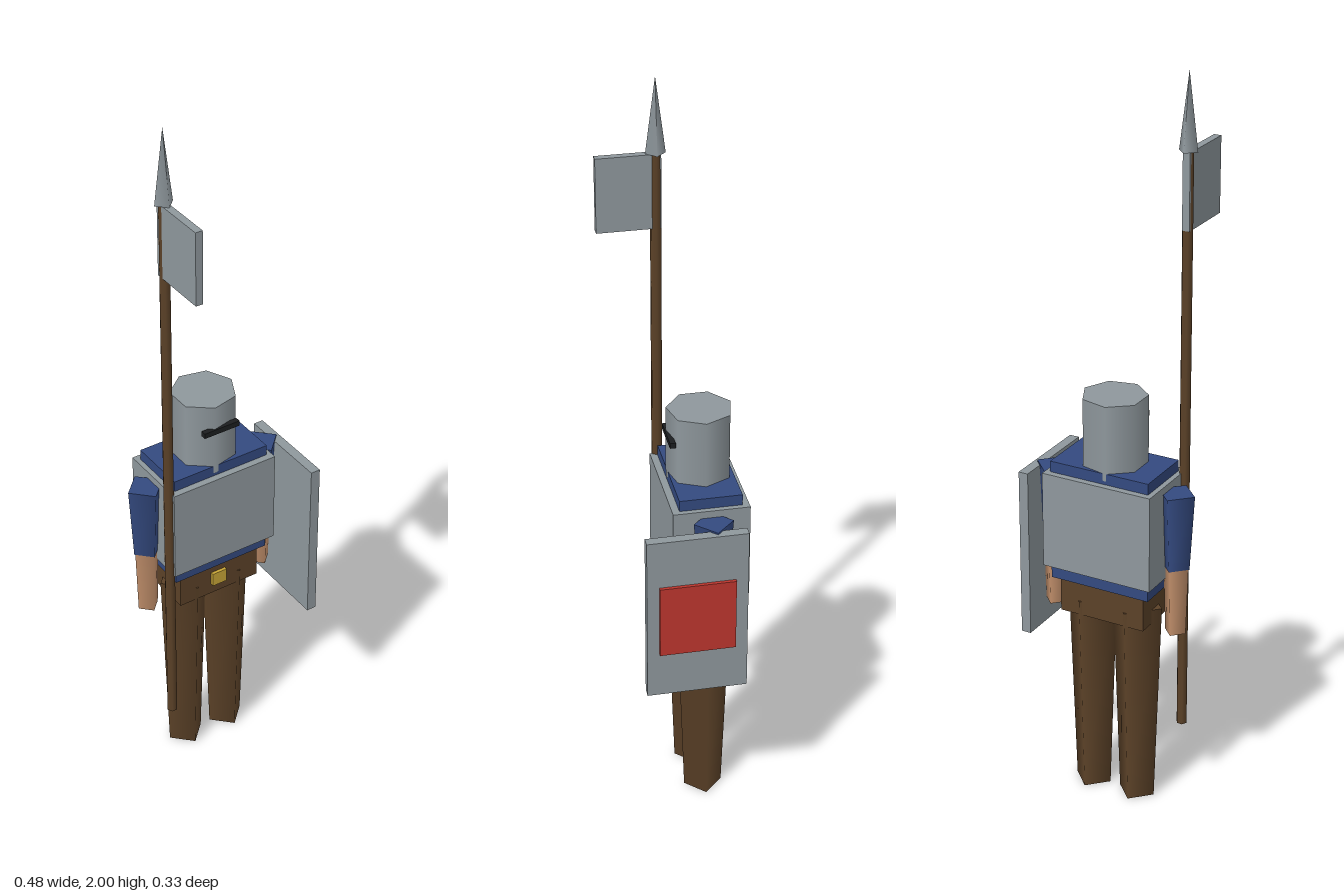
import * as THREE from 'three';

export function createModel() {
  const model = new THREE.Group();
  model.name = 'spearGuard';

  const mat = (name, color) => {
    const m = new THREE.MeshStandardMaterial({ color });
    m.name = name;
    return m;
  };
  const steel = mat('steel', 0x8f989d);
  const blue = mat('blueCloth', 0x344a80);
  const brown = mat('brownLeather', 0x5c4228);
  const skin = mat('skin', 0xc08e6a);
  const red = mat('redPaint', 0xbd362e);
  const gold = mat('gold', 0xc9a637);
  const black = mat('black', 0x1c1e20);

  const add = (name, geometry, material, x, y, z) => {
    const mesh = new THREE.Mesh(geometry, material);
    mesh.name = name;
    mesh.position.set(x, y, z);
    model.add(mesh);
    return mesh;
  };
  // Box given by its extents on each axis
  const box = (name, material, [x0, x1], [y0, y1], [z0, z1]) =>
    add(name, new THREE.BoxGeometry(x1 - x0, y1 - y0, z1 - z0), material,
      (x0 + x1) / 2, (y0 + y1) / 2, (z0 + z1) / 2);
  // Upright tapered prism with one corner pointing towards +x
  const prism = (name, material, x, z, [y0, y1], rBottom, rTop, sides = 4) => {
    const g = new THREE.CylinderGeometry(rTop, rBottom, y1 - y0, sides);
    g.rotateY(Math.PI / 2);
    return add(name, g, material, x, (y0 + y1) / 2, z);
  };

  const cx = -0.01, cz = -0.068; // body axis

  // Torso, breastplate and belt
  box('torso', blue, [-0.152, 0.133], [0.64, 0.975], [-0.151, 0.014]);
  box('breastplate', steel, [-0.166, 0.147], [0.68, 0.945], [-0.169, 0.033]);
  box('belt', brown, [-0.13, 0.115], [0.54, 0.645], [-0.135, 0]);
  box('buckle', gold, [-0.032, 0.012], [0.57, 0.61], [-0.005, 0.009]);

  // Helmet with eye slit
  prism('helmet', steel, cx, cz, [0.955, 1.16], 0.087, 0.087, 7);
  box('eyeSlit', black, [-0.063, 0.043], [1.079, 1.094], [0.005, 0.02]);

  // Legs and arms, mirrored about the body axis
  for (const [side, s] of [['left', 1], ['right', -1]]) {
    prism(side + 'Leg', brown, cx + s * 0.067, cz, [0, 0.58], 0.052, 0.073);
    prism(side + 'Sleeve', blue, cx + s * 0.18, cz, [0.715, 0.925], 0.039, 0.052);
    prism(side + 'Forearm', skin, cx + s * 0.18, cz, [0.525, 0.718], 0.03, 0.036);
  }

  // Shield on the left arm
  box('shield', steel, [0.204, 0.231], [0.45, 0.92], [-0.147, 0.118]);
  box('shieldPanel', red, [0.231, 0.2405], [0.58, 0.785], [-0.114, 0.086]);

  // Spear with pennant
  prism('spearShaft', brown, -0.17, 0.013, [0.2, 1.81], 0.015, 0.015, 6);
  prism('spearTip', steel, -0.17, 0.013, [1.8, 2], 0.026, 0);
  box('pennant', steel, [-0.181, -0.161], [1.6, 1.8], [0, 0.166]);

  return model;
}
